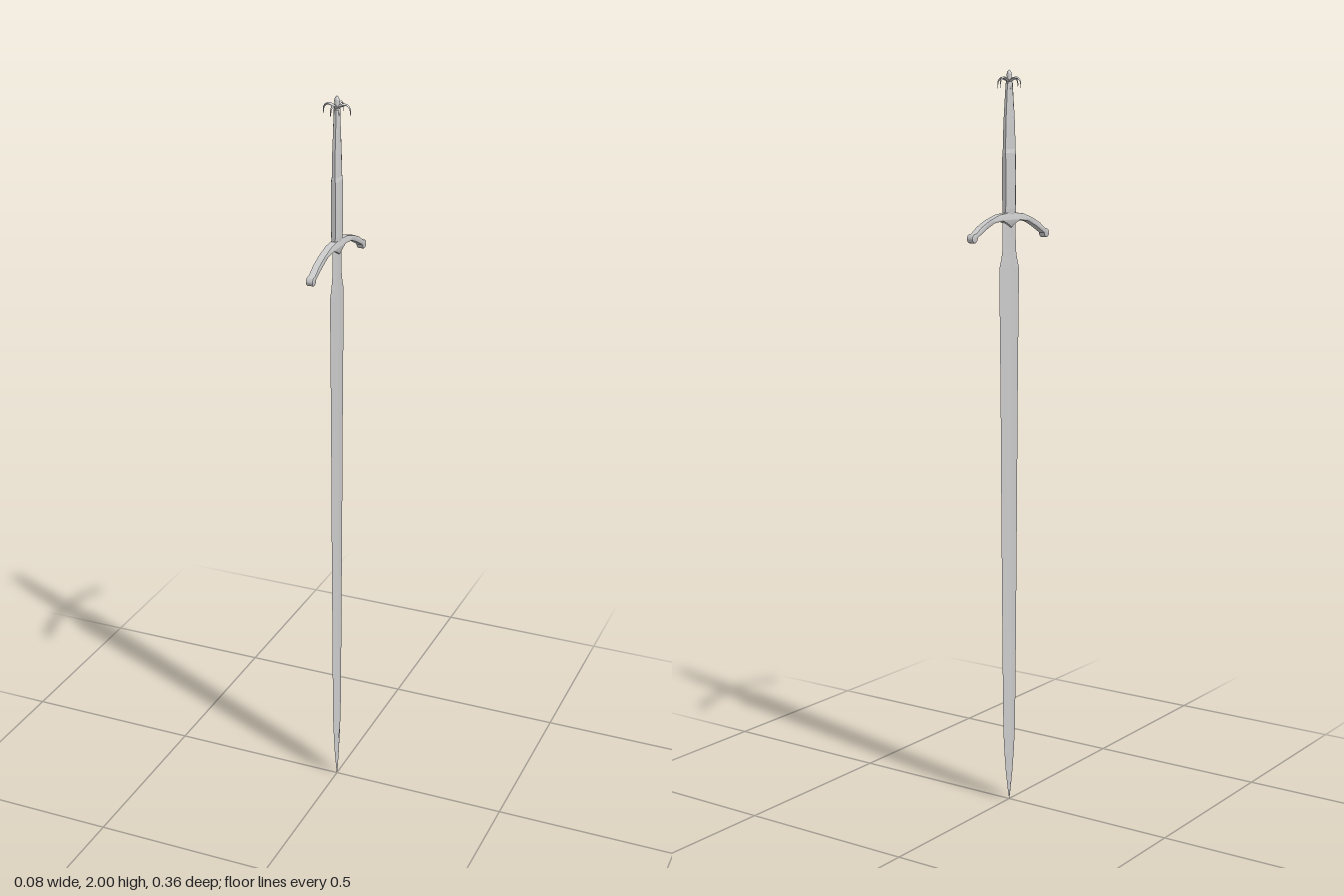
import * as THREE from 'three';
import { toCreasedNormals } from 'three/addons/utils/BufferGeometryUtils.js';

const flat = new THREE.MeshStandardMaterial({ color: 0xcccccc, flatShading: true });
const smooth = new THREE.MeshStandardMaterial({ color: 0xcccccc });

function add(parent, name, geometry, material) {
  const mesh = new THREE.Mesh(geometry, material);
  mesh.name = name;
  parent.add(mesh);
  return mesh;
}

// Skin a list of equal-length point rings and close both ends
function loft(rings) {
  const pos = [];
  const tri = (...points) => points.forEach((p) => pos.push(...p));
  const n = rings[0].length;
  for (let i = 0; i < rings.length - 1; i++) {
    for (let j = 0; j < n; j++) {
      const k = (j + 1) % n;
      const [a, b] = [rings[i], rings[i + 1]];
      tri(a[j], b[j], a[k]);
      tri(a[k], b[j], b[k]);
    }
  }
  const last = rings[rings.length - 1];
  for (let j = 1; j < n - 1; j++) {
    tri(rings[0][0], rings[0][j], rings[0][j + 1]);
    tri(last[0], last[j + 1], last[j]);
  }
  const geometry = new THREE.BufferGeometry();
  geometry.setAttribute('position', new THREE.Float32BufferAttribute(pos, 3));
  geometry.computeVertexNormals();
  return geometry;
}

// Blade: flattened lozenge sections [y, half width, half thickness]
function bladeGeometry() {
  const profile = [
    [0, 0.0005, 0.0005], [0.03, 0.007, 0.003], [0.08, 0.016, 0.005], [0.14, 0.023, 0.006],
    [0.2, 0.028, 0.006], [0.35, 0.031, 0.006], [0.5, 0.033, 0.005], [0.8, 0.037, 0.004],
    [1.1, 0.04, 0.004], [1.3, 0.043, 0.004], [1.46, 0.046, 0.004], [1.485, 0.045, 0.004],
    [1.51, 0.036, 0.004], [1.535, 0.031, 0.004], [1.61, 0.03, 0.004],
  ];
  return loft(profile.map(([y, w, t]) => [
    [t, y, 0], [t * 0.75, y, w * 0.35], [0, y, w], [-t * 0.75, y, w * 0.35],
    [-t, y, 0], [-t * 0.75, y, -w * 0.35], [0, y, -w], [t * 0.75, y, -w * 0.35],
  ]));
}

// Grip: eight-sided sections [y, half x, half z]
function gripGeometry() {
  const profile = [
    [1.62, 0.009, 0.023], [1.64, 0.011, 0.024], [1.71, 0.012, 0.024], [1.785, 0.011, 0.024],
    [1.795, 0.009, 0.023], [1.86, 0.008, 0.021], [1.92, 0.007, 0.016], [1.965, 0.006, 0.012],
  ];
  return loft(profile.map(([y, a, b]) => [
    [a, y, -b * 0.5], [a, y, b * 0.5], [a * 0.5, y, b], [-a * 0.5, y, b],
    [-a, y, b * 0.5], [-a, y, -b * 0.5], [-a * 0.5, y, -b], [a * 0.5, y, -b],
  ]));
}

// Guard: drooping arched bar with a rounded knob at each end
function guardGeometry() {
  const top = [[0.16, 1.581], [0.135, 1.597], [0.1, 1.612], [0.055, 1.625], [0, 1.63]];
  const bottom = [[0, 1.592], [0.018, 1.602], [0.04, 1.61], [0.08, 1.605], [0.115, 1.591], [0.155, 1.571]];
  const knob = [];
  for (let i = 0; i <= 12; i++) {
    const a = THREE.MathUtils.degToRad(190 + i * 22);
    knob.push([0.167 + 0.011 * Math.cos(a), 1.569 + 0.011 * Math.sin(a)]);
  }
  const half = [...bottom, ...knob, ...top];
  const mirrored = half.slice(1, -1).reverse().map(([z, y]) => [-z, y]);
  const shape = new THREE.Shape([...half, ...mirrored].map(([z, y]) => new THREE.Vector2(z, y)));
  const geometry = new THREE.ExtrudeGeometry(shape, {
    depth: 0.014, bevelEnabled: true, bevelThickness: 0.0025, bevelSize: 0.002,
    bevelOffset: -0.001, bevelSegments: 2,
  });
  geometry.translate(0, 0, -0.007).rotateY(-Math.PI / 2);
  return toCreasedNormals(geometry, 0.6);
}

// Pommel leaf: tapering diamond section swept outward and curled down
function leafGeometry(width, reach) {
  const curve = new THREE.CatmullRomCurve3([
    [0, 1.968], [0.4, 1.977], [0.72, 1.978], [0.94, 1.97], [1, 1.952],
  ].map(([r, y]) => new THREE.Vector3(r * reach, y, 0)));
  const rings = [];
  for (let i = 0; i <= 10; i++) {
    const u = i / 10;
    const p = curve.getPointAt(u);
    const t = curve.getTangentAt(u);
    const w = width * (1 - 0.95 * u);
    const h = 0.005 * (1 - 0.85 * u);
    rings.push([
      [p.x, p.y, w], [p.x - t.y * h, p.y + t.x * h, 0],
      [p.x, p.y, -w], [p.x + t.y * h, p.y - t.x * h, 0],
    ]);
  }
  return loft(rings);
}

export function createModel() {
  const sword = new THREE.Group();
  sword.name = 'sword';
  add(sword, 'blade', bladeGeometry(), flat);
  add(sword, 'guard', guardGeometry(), smooth);
  add(sword, 'grip', gripGeometry(), flat);

  // Pommel: four leaves around a small pointed finial
  const pommel = new THREE.Group();
  pommel.name = 'pommel';
  sword.add(pommel);
  for (let i = 0; i < 4; i++) {
    const alongBlade = i % 2 === 1;
    const geometry = leafGeometry(alongBlade ? 0.006 : 0.009, alongBlade ? 0.041 : 0.037);
    add(pommel, 'leaf', geometry, flat).rotation.y = i * Math.PI / 2;
  }
  const finial = [[0, 1.945], [0.008, 1.95], [0.009, 1.962], [0.006, 1.978], [0.007, 1.987], [0.005, 1.995], [0, 2]];
  add(pommel, 'finial', new THREE.LatheGeometry(finial.map(([r, y]) => new THREE.Vector2(r, y)), 12), smooth);
  return sword;
}
